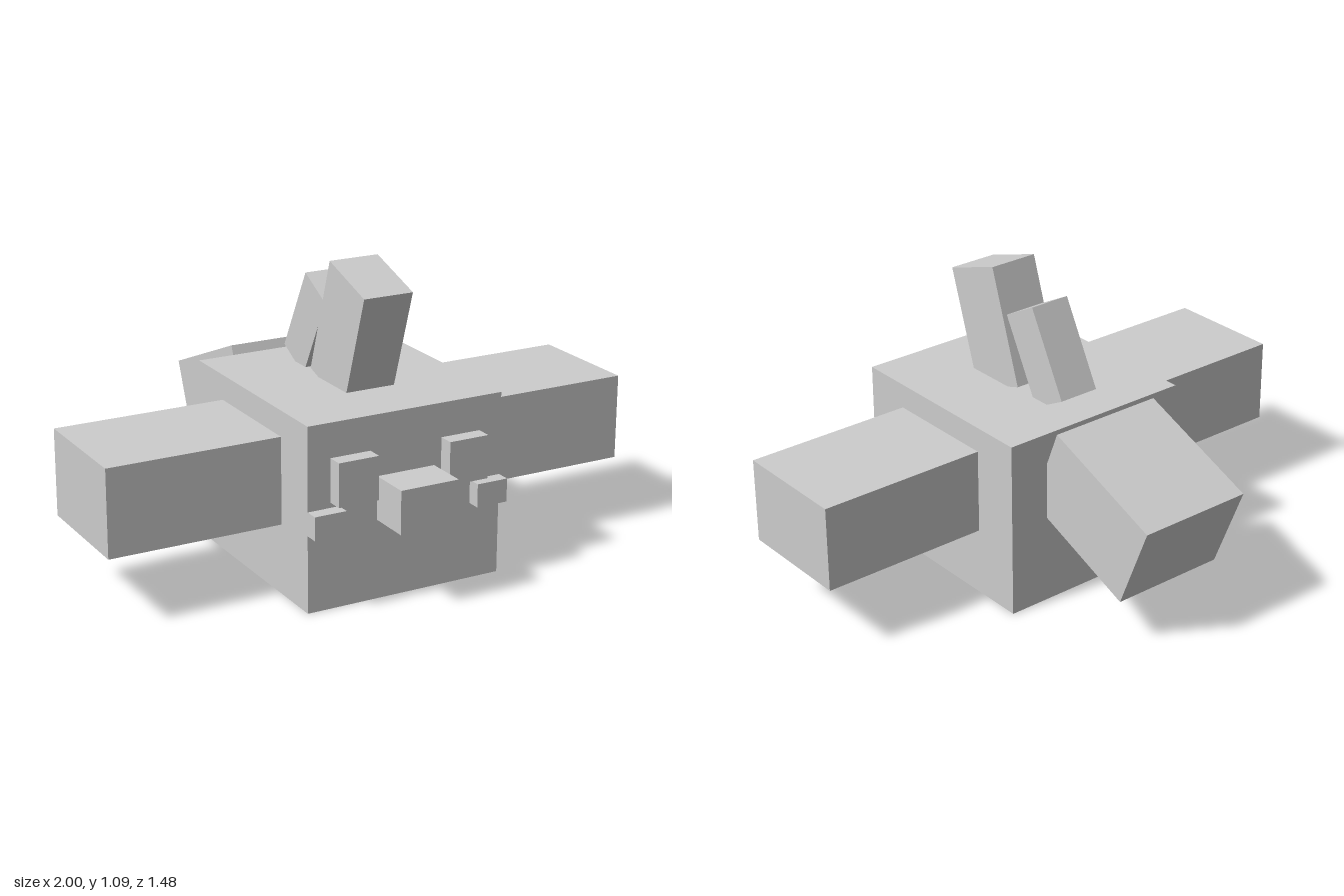
import * as THREE from 'three';

export function createModel() {
  const model = new THREE.Group();
  const grey = new THREE.MeshStandardMaterial({ color: 0xcccccc });
  grey.name = 'light grey';

  // Box from its size and centre, tilted about the x axis
  function block(name, size, centre, tilt = 0) {
    const mesh = new THREE.Mesh(new THREE.BoxGeometry(...size), grey);
    mesh.name = name;
    mesh.position.set(...centre);
    mesh.rotation.x = tilt;
    model.add(mesh);
  }

  block('body', [0.744, 0.657, 0.81], [0, 0.3285, 0.18]);
  block('beak', [0.22, 0.155, 0.175], [0, 0.3625, 0.6525]);

  // Paired parts, mirrored across x
  for (const [side, s] of [['left', 1], ['right', -1]]) {
    block(side + 'Wing', [0.64, 0.312, 0.438], [s * 0.68, 0.409, 0.181]);
    block(side + 'Eye', [0.15, 0.155, 0.075], [s * 0.212, 0.457, 0.604]);
    block(side + 'Cheek', [0.118, 0.084, 0.07], [s * 0.313, 0.319, 0.6]);
  }

  // Head crest: a tall front feather and a shorter one behind it
  block('frontCrest', [0.186, 0.436, 0.247], [0, 0.844, 0.275], 0.316);
  block('rearCrest', [0.156, 0.34, 0.16], [0, 0.8125, 0.016], 0.489);

  // Tail slopes down to the back
  block('tail', [0.436, 0.341, 0.496], [0, 0.425, -0.445], -0.382);

  return model;
}
